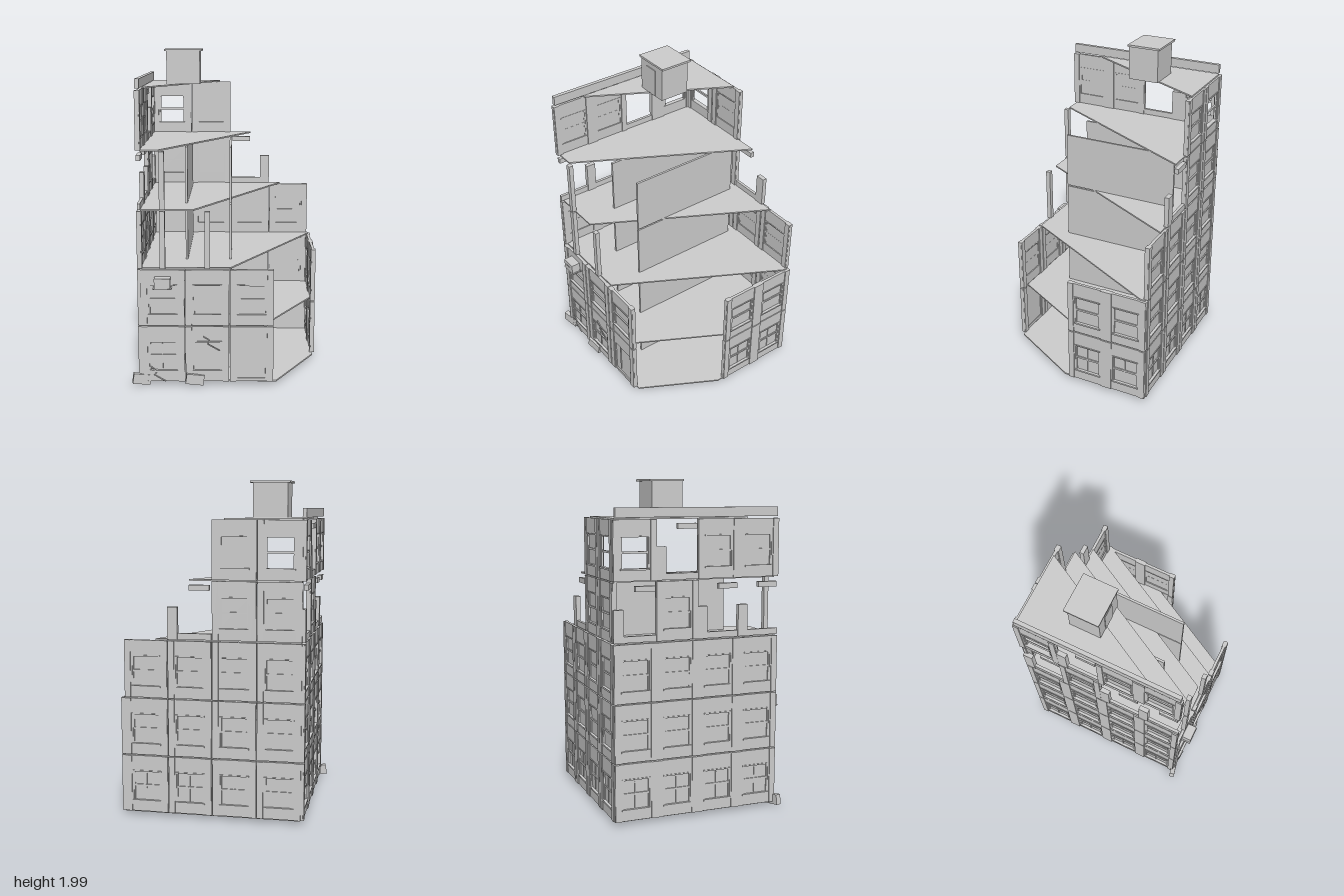
import * as THREE from 'three';

const concrete = new THREE.MeshStandardMaterial({ color: 0xcccccc });
concrete.name = 'concrete grey';

const FLOORS = [0.03, 0.38, 0.73, 1.082, 1.432]; // base height of each storey
const H = 0.343;   // panel height
const W = 0.262;   // bay width
const T = 0.018;   // wall thickness

function add(parent, name, geometry, x = 0, y = 0, z = 0) {
  const mesh = new THREE.Mesh(geometry, concrete);
  mesh.name = name;
  mesh.position.set(x, y, z);
  parent.add(mesh);
  return mesh;
}

function box(parent, name, w, h, d, x, y, z) {
  return add(parent, name, new THREE.BoxGeometry(w, h, d), x, y, z);
}

function rectPath(Type, x0, y0, x1, y1) {
  const p = new Type();
  p.moveTo(x0, y0);
  p.lineTo(x1, y0);
  p.lineTo(x1, y1);
  p.lineTo(x0, y1);
  p.closePath();
  return p;
}

// Flat wall with one rectangular opening, standing on local y = 0
function wallWithOpening(y0, y1) {
  const shape = rectPath(THREE.Shape, -W / 2, 0, W / 2, H);
  shape.holes.push(rectPath(THREE.Path, -0.083, y0, 0.083, y1));
  const g = new THREE.ExtrudeGeometry(shape, { depth: T, bevelEnabled: false });
  return g.translate(0, 0, -T / 2);
}
const windowWall = wallWithOpening(0.07, 0.245);
const doorWall = wallWithOpening(0.02, 0.245);

function pilasters(g) {
  for (const s of [-1, 1]) box(g, 'pilaster', 0.036, H, 0.03, s * (W / 2 - 0.02), H / 2, 0);
}

function windowPanel(glazed, mullion) {
  const g = new THREE.Group();
  g.name = 'windowPanel';
  add(g, 'wall', windowWall);
  pilasters(g);
  box(g, 'sill', 0.176, 0.01, 0.028, 0, 0.065, 0.002);
  box(g, 'header', 0.176, 0.008, 0.024, 0, 0.249, 0.001);
  box(g, 'crossbar', 0.166, 0.012, 0.012, 0, 0.16, 0);
  for (const s of [-1, 1]) box(g, 'sashSide', 0.008, 0.175, 0.012, s * 0.079, 0.1575, 0);
  if (glazed) box(g, 'pane', 0.166, 0.175, 0.004, 0, 0.1575, -0.003);
  if (mullion) box(g, 'mullion', 0.006, 0.16, 0.008, -0.005, 0.155, 0);
  return g;
}

function doorPanel() {
  const g = new THREE.Group();
  g.name = 'doorPanel';
  add(g, 'wall', doorWall);
  pilasters(g);
  box(g, 'door', 0.166, 0.225, 0.006, 0, 0.1325, -0.002);
  box(g, 'doorStile', 0.006, 0.2, 0.008, -0.03, 0.14, 0.002);
  return g;
}

// Remains of a collapsed bay: footing, stump and a scrap of lintel
function brokenPanel() {
  const g = new THREE.Group();
  g.name = 'brokenPanel';
  box(g, 'footing', W, 0.037, T, 0, 0.0185, 0);
  box(g, 'stump', 0.06, 0.19, 0.028, -W / 2 + 0.03, 0.095, 0);
  box(g, 'lintelScrap', 0.12, 0.032, 0.026, 0.06, 0.304, 0);
  return g;
}

// Each side turns local +z outward. Codes per storey: W window, D door,
// O window without pane, B broken, space nothing.
const FRONT_Z = 0.478, BACK_Z = -0.54, LEFT_X = -0.516, RIGHT_X = 0.554;
const bayX = i => -0.382 + i * 0.2655;
const bayZ = i => 0.354 - i * 0.2575;
const SIDES = [
  { name: 'frontWall', turn: 0, at: i => [bayX(i), FRONT_Z], plan: ['WWD', 'WWW'] },
  { name: 'backWall', turn: Math.PI, at: i => [bayX(i), BACK_Z], plan: ['WWWW', 'WWWW', 'WWWW', 'WWB', 'OW'] },
  { name: 'farWall', turn: -Math.PI / 2, at: i => [LEFT_X, bayZ(i)], plan: ['WWWW', 'WWWW', 'WWWW', 'BBWB', 'WWBO'] },
  { name: 'nearWall', turn: Math.PI / 2, at: i => [RIGHT_X, bayZ(i)], plan: ['  WW', '  WW'] },
];

// Floor slab sheared off along a diagonal that meets the front at x = cut
function slab(cut, y) {
  const x0 = -0.507, x1 = 0.553, z0 = -0.537, z1 = 0.468, k = 1.83;
  const edgeX = z => cut + (z1 - z) / k;
  const edgeZ = x => z1 - (x - cut) * k;
  const pts = [[x0, z0], [Math.min(edgeX(z0), x1), z0]];
  if (edgeX(z0) > x1) pts.push([x1, edgeZ(x1)]);
  if (cut > x0) pts.push([cut, z1], [x0, z1]);
  else pts.push([x0, edgeZ(x0)]);
  const shape = new THREE.Shape(pts.map(([x, z]) => new THREE.Vector2(x, -z)));
  const g = new THREE.ExtrudeGeometry(shape, { depth: 0.009, bevelEnabled: false });
  return g.rotateX(-Math.PI / 2).translate(0, y, 0);
}

// Zigzag crack made of thin strips
function crack(parent, pts) {
  for (let i = 1; i < pts.length; i++) {
    const [ax, ay] = pts[i - 1], [bx, by] = pts[i];
    const strip = box(parent, 'crack', Math.hypot(bx - ax, by - ay) + 0.004, 0.006, 0.006,
      (ax + bx) / 2, (ay + by) / 2, 0.493);
    strip.rotation.z = Math.atan2(by - ay, bx - ax);
  }
}

export function createModel() {
  const model = new THREE.Group();
  model.name = 'ruinedBuilding';

  // Outer walls
  for (const side of SIDES) {
    const wall = new THREE.Group();
    wall.name = side.name;
    side.plan.forEach((row, f) => [...row].forEach((code, i) => {
      if (code === ' ') return;
      const panel = code === 'B' ? brokenPanel() : code === 'D' ? doorPanel()
        : windowPanel(code === 'W', f === 0);
      const [x, z] = side.at(i);
      panel.position.set(x, FLOORS[f], z);
      panel.rotation.y = side.turn;
      wall.add(panel);
    }));
    model.add(wall);
  }

  // Lone posts left along the collapsed front
  for (const [x, f] of [[-0.38, 2], [-0.115, 2], [-0.38, 3]])
    box(model, 'frontPost', 0.032, H, 0.028, x, FLOORS[f] + H / 2, 0.475);

  // Floor slabs and roof
  [[0.3, 0.022], [0.22, 0.371], [0.02, 0.723], [-0.195, 1.074], [-0.397, 1.425], [-0.605, 1.775]]
    .forEach(([cut, y], i) => add(model, i === 5 ? 'roofSlab' : 'floorSlab', slab(cut, y)));

  // Inner partitions
  for (let f = 0; f < 4; f++)
    for (const x of [0.02, -0.247])
      box(model, 'partition', 0.014, H, 0.73, x, FLOORS[f] + H / 2, -0.11);

  // Roof parapet and stair hut
  box(model, 'parapet', 0.024, 0.055, 1.01, -0.516, 1.814, -0.03);
  box(model, 'roofHut', 0.21, 0.205, 0.19, -0.28, 1.886, -0.17);
  box(model, 'hutRoof', 0.238, 0.012, 0.21, -0.28, 1.994, -0.175);
  box(model, 'hutDoor', 0.085, 0.17, 0.006, -0.282, 1.872, -0.074);

  // Air conditioner under a front window header
  const ac = new THREE.Group();
  ac.name = 'airConditioner';
  box(ac, 'casing', 0.095, 0.062, 0.06, 0, 0.033, 0);
  box(ac, 'shelf', 0.112, 0.006, 0.062, 0, 0, 0);
  for (const s of [-1, 0, 1]) box(ac, 'vent', 0.012, 0.005, 0.004, s * 0.016, 0.036, 0.031);
  ac.position.set(-0.38, 0.618, 0.515);
  model.add(ac);

  // Cracks and fallen blocks at the foot of the front
  crack(model, [[-0.14, 0.312], [-0.105, 0.29], [-0.113, 0.265], [-0.045, 0.226]]);
  crack(model, [[-0.457, 0.124], [-0.42, 0.092], [-0.435, 0.07], [-0.37, 0.032]]);
  const rubbleA = box(model, 'rubble', 0.108, 0.062, 0.032, -0.513, 0.044, 0.484);
  rubbleA.rotation.set(0, 0.22, -0.14);
  const rubbleB = box(model, 'rubble', 0.108, 0.062, 0.02, -0.192, 0.044, 0.495);
  rubbleB.rotation.set(0, 0.12, -0.14);

  return model;
}
